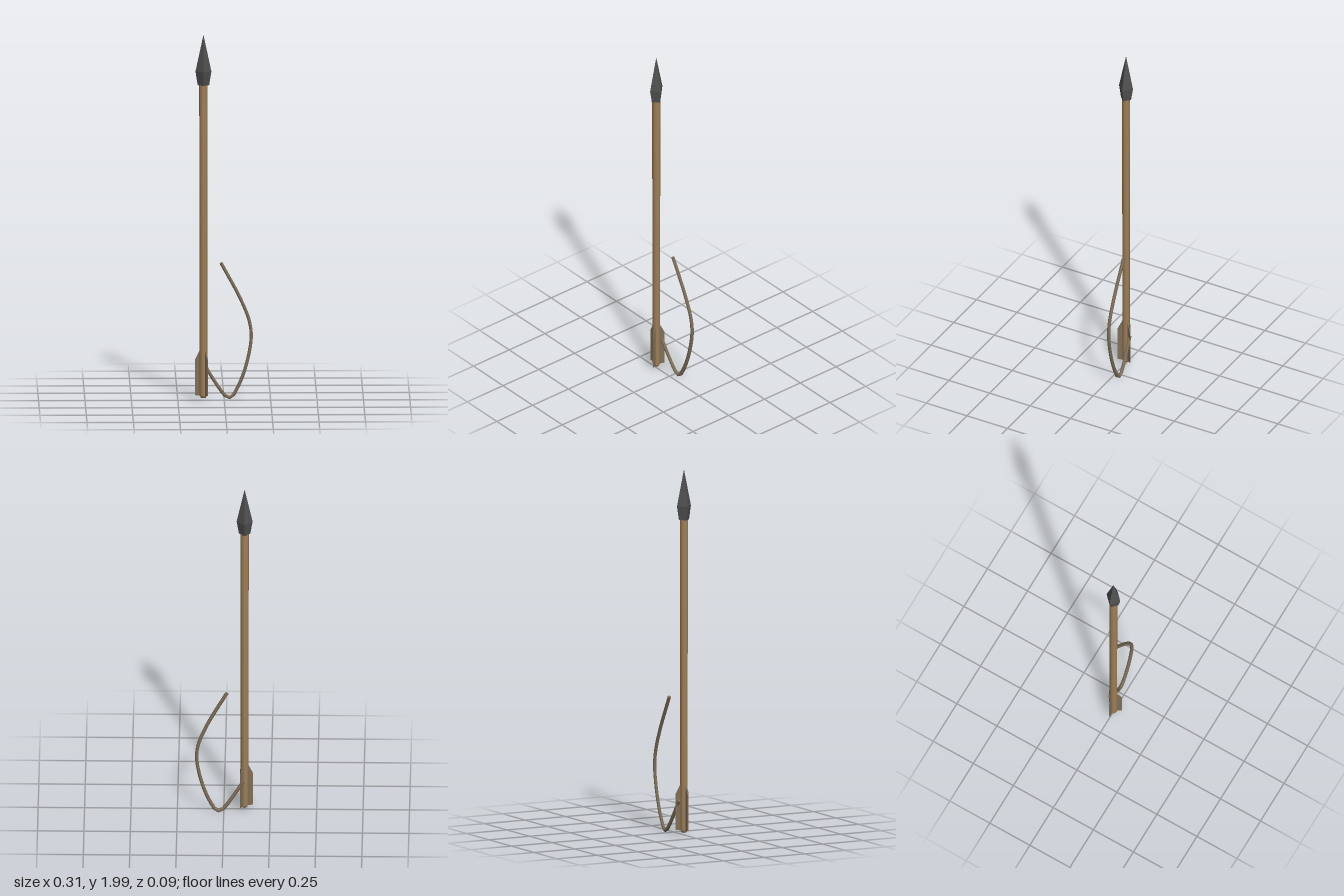
import * as THREE from 'three';

const mat = (color, extra = {}) => new THREE.MeshStandardMaterial({ color, ...extra });

function add(parent, name, geometry, material) {
  const mesh = new THREE.Mesh(geometry, material);
  mesh.name = name;
  parent.add(mesh);
  return mesh;
}

// Closed profile of [radius, y] pairs turned around the y axis
function turned(profile, sides) {
  return new THREE.LatheGeometry(profile.map(([r, y]) => new THREE.Vector2(r, y)), sides);
}

export function createModel() {
  const model = new THREE.Group();
  const arrow = new THREE.Group();
  arrow.name = 'arrow';
  arrow.position.x = -0.112;
  model.add(arrow);

  // Wooden shaft, a touch thicker towards the head
  add(arrow, 'shaft', turned([[0, 0.02], [0.013, 0.02], [0.021, 0.035], [0.021, 0.9], [0.023, 1.73], [0, 1.73]], 8),
    mat(0xa08058));

  // Four-sided pointed head
  add(arrow, 'head', turned([[0, 1.725], [0.031, 1.725], [0.043, 1.8], [0, 2]], 4),
    mat(0x505050, { flatShading: true }));

  // Three thin fins, 120 degrees apart
  const fin = new THREE.Shape([[0.012, 0.03], [0.045, 0.035], [0.045, 0.23], [0.02, 0.28], [0.012, 0.28]]
    .map(([x, y]) => new THREE.Vector2(x, y)));
  const finGeometry = new THREE.ExtrudeGeometry(fin, { depth: 0.005, bevelEnabled: false });
  finGeometry.translate(0, 0, -0.0025);
  const finMaterial = mat(0x80705a, { flatShading: true });
  for (let i = 0; i < 3; i++) {
    add(arrow, 'fin', finGeometry, finMaterial).rotation.y = Math.PI + i * Math.PI * 2 / 3;
  }

  // Loose cord curling away from the tail
  const path = new THREE.CatmullRomCurve3([
    [-0.105, 0.195, -0.027], [-0.08, 0.152, -0.03], [-0.03, 0.073, -0.034], [0.01, 0.023, -0.037],
    [0.036, 0.016, -0.037], [0.068, 0.062, -0.037], [0.115, 0.18, -0.037], [0.146, 0.345, -0.037],
    [0.135, 0.435, -0.037], [0.085, 0.56, -0.037], [-0.017, 0.75, -0.037],
  ].map((p) => new THREE.Vector3(...p)));
  const cordMaterial = mat(0x80705a);
  const radius = 0.01;
  add(model, 'cord', new THREE.TubeGeometry(path, 36, radius, 6), cordMaterial);

  // Flat caps on the cord ends
  for (const t of [0, 1]) {
    const cap = add(model, 'cordEnd', new THREE.CircleGeometry(radius, 6), cordMaterial);
    const outward = path.getTangent(t).multiplyScalar(t ? 1 : -1);
    cap.position.copy(path.getPoint(t));
    cap.quaternion.setFromUnitVectors(new THREE.Vector3(0, 0, 1), outward);
  }
  return model;
}
